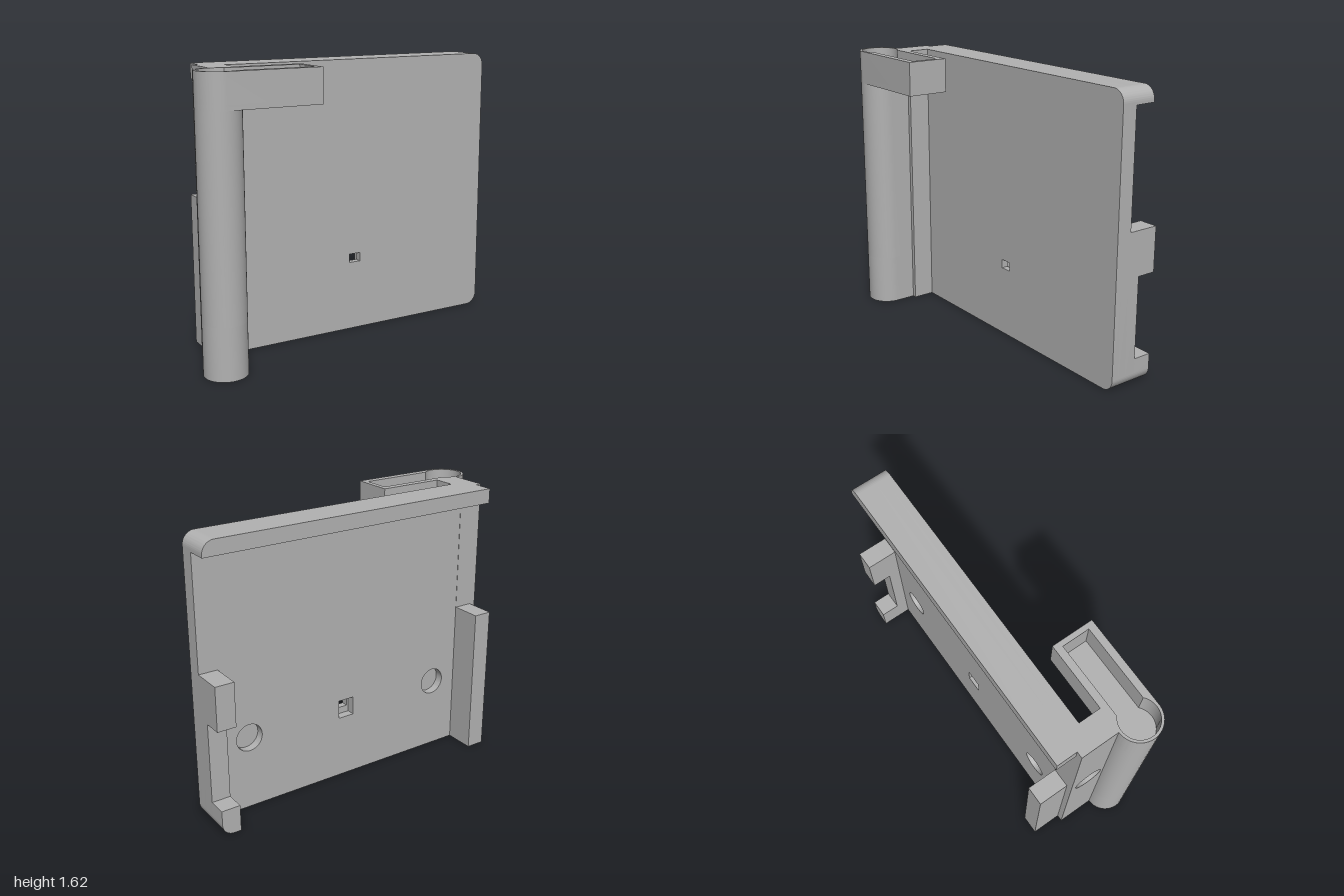
import * as THREE from 'three';
import { toCreasedNormals } from 'three/addons/utils/BufferGeometryUtils.js';

const H = 1.62;

export function createModel() {
  const group = new THREE.Group();
  const grey = new THREE.MeshStandardMaterial({ color: 0xb2b2b2 });
  grey.name = 'light grey plastic';

  // Extrude a shape from a to b along the chosen axis.
  // z: shape is (x, y); x: shape is (-z, y); y: shape is (x, -z)
  function slab(name, shape, axis, a, b) {
    let geo = new THREE.ExtrudeGeometry(shape, { depth: b - a, bevelEnabled: false, curveSegments: 24 });
    geo.translate(0, 0, a);
    if (axis === 'x') geo.rotateY(Math.PI / 2);
    if (axis === 'y') geo.rotateX(-Math.PI / 2);
    geo = toCreasedNormals(geo, 0.5);
    const mesh = new THREE.Mesh(geo, grey);
    mesh.name = name;
    group.add(mesh);
  }

  // Rectangle with optional rounded corners on its right side
  function rect(x0, y0, x1, y1, rBottom = 0, rTop = 0) {
    const s = new THREE.Shape();
    s.moveTo(x0, y0);
    s.lineTo(x1 - rBottom, y0);
    if (rBottom) s.absarc(x1 - rBottom, y0 + rBottom, rBottom, -Math.PI / 2, 0, false);
    else s.lineTo(x1, y0);
    s.lineTo(x1, y1 - rTop);
    if (rTop) s.absarc(x1 - rTop, y1 - rTop, rTop, 0, Math.PI / 2, false);
    else s.lineTo(x1, y1);
    s.lineTo(x0, y1);
    s.closePath();
    return s;
  }
  function circle(x, y, r) {
    const p = new THREE.Path();
    p.absarc(x, y, r, 0, Math.PI * 2, true);
    return p;
  }

  // Main plate: front layer with a small window, back layer with blind pockets
  const R = 0.07;
  const front = rect(-0.73, 0, 1, H, R, R);
  front.holes.push(rect(0.042, 0.415, 0.113, 0.467));
  slab('plateFront', front, 'z', -0.09, -0.05);
  const back = rect(-0.73, 0, 1, H, R, R);
  back.holes.push(rect(0.03, 0.375, 0.13, 0.485));
  for (const x of [-0.56, 0.72]) back.holes.push(circle(x, 0.43, 0.08));
  slab('plateBack', back, 'z', -0.14, -0.09);

  // Ledge along the top of the back
  slab('topLedge', rect(-0.84, 1.535, 1, H, 0, R), 'z', -0.26, -0.14);

  // Back clips; the one on the left side is notched
  slab('rightClip', rect(-0.84, 0, -0.73, 0.88), 'z', -0.32, -0.14);
  slab('leftClipBase', rect(0.89, 0, 1, 0.88, R), 'z', -0.21, -0.14);
  slab('leftClipFoot', rect(0.89, 0, 1, 0.155, R), 'z', -0.32, -0.21);
  slab('leftClipTab', rect(0.89, 0.625, 1, 0.88), 'z', -0.32, -0.21);

  // Side arm with a blind round pocket in its outer face
  const armOuter = rect(-0.08, 0, 0.142, H);
  armOuter.holes.push(circle(0.025, 0.885, 0.085));
  slab('armOuter', armOuter, 'x', -0.877, -0.82);
  slab('armInner', rect(-0.08, 0, 0.142, H), 'x', -0.82, -0.73);

  // Round post: tangent to the arm, rounded on the outside
  const cx = -0.878, cy = -0.2, r = 0.122;
  function post() {
    const s = new THREE.Shape();
    s.absarc(cx, cy, r, Math.PI / 2, Math.PI * 2, false);
    s.lineTo(cx + r, cy + r);
    s.closePath();
    return s;
  }
  const foot = post();
  foot.holes.push(circle(cx, cy, 0.043));
  slab('postFoot', foot, 'y', 0, 0.3);
  slab('post', post(), 'y', 0.3, 1.425);

  // Holder at the top of the post with a keyhole-shaped cavity
  function holder() {
    const s = new THREE.Shape();
    s.absarc(cx, cy, r, Math.PI / 2, Math.PI * 1.5, false);
    s.lineTo(-0.34, cy - r);
    s.lineTo(-0.34, cy + r);
    s.closePath();
    return s;
  }
  slab('holderFloor', holder(), 'y', 1.425, 1.455);
  const walls = holder();
  const key = new THREE.Path();
  const a = Math.asin(0.08 / 0.107);
  key.absarc(cx, cy, 0.107, a, Math.PI * 2 - a, false);
  key.lineTo(-0.37, cy - 0.08);
  key.lineTo(-0.37, cy + 0.08);
  key.closePath();
  walls.holes.push(key);
  slab('holderWalls', walls, 'y', 1.455, H);

  return group;
}
